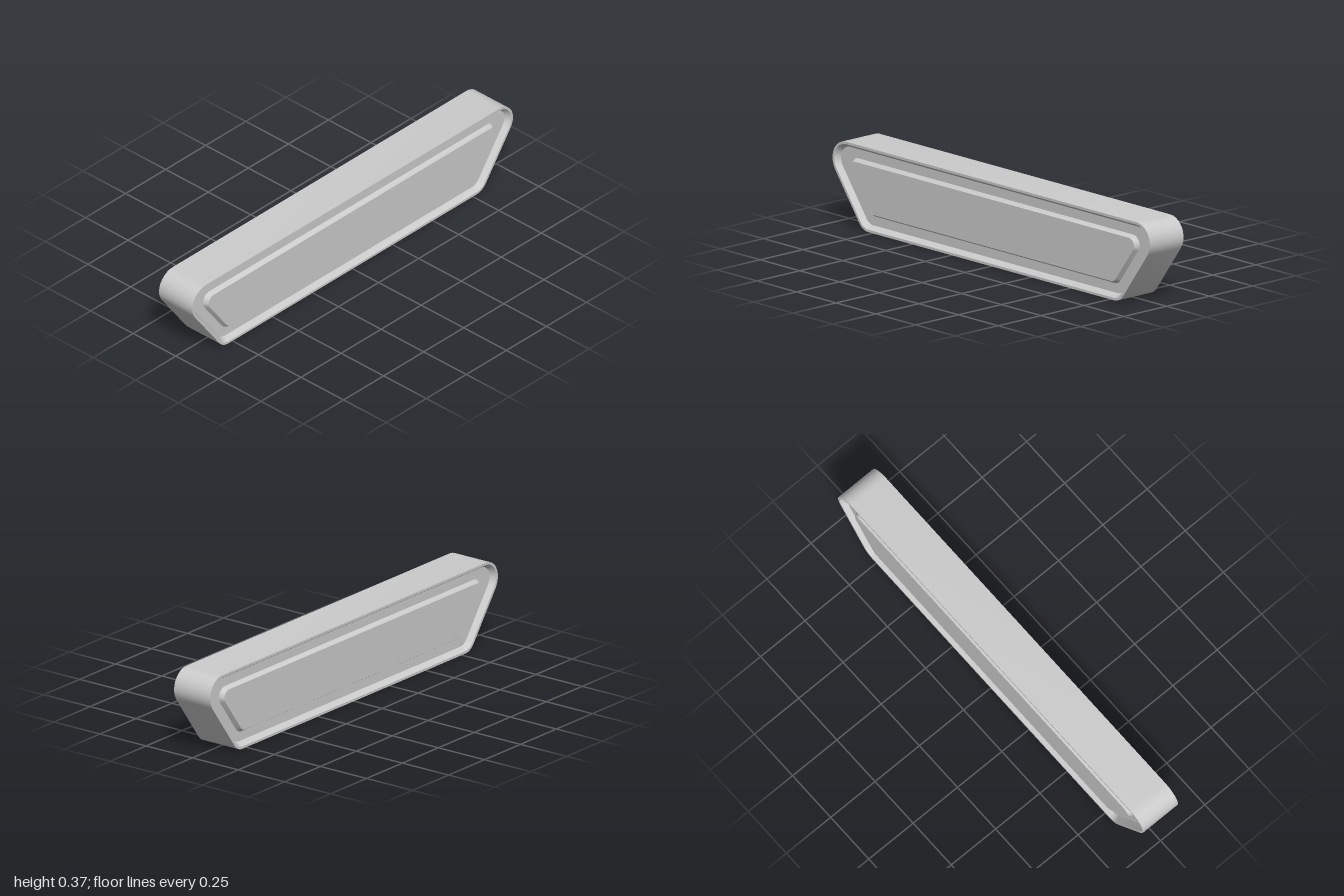
import * as THREE from 'three';
import { toCreasedNormals } from 'three/addons/utils/BufferGeometryUtils.js';

const HEIGHT = 0.373, HALF_BASE = 0.81, HALF_DEPTH = 0.098;
const LEAN = 0.732;                       // sideways run of the slanted ends per unit of height
const SLANT = Math.hypot(1, LEAN);
const END_ANGLE = -Math.atan(LEAN);       // direction the right slanted end faces
const SEGMENTS = 10;

// Counter-clockwise rounded trapezoid, inset from the outer outline, at depth z
function ring(inset, z, topRadius, bottomRadius) {
  const centreX = (y, r) => HALF_BASE + LEAN * y - (inset + r) * SLANT;
  const right = [];
  const corner = (y, r, from, to) => {
    for (let i = 0; i <= SEGMENTS; i++) {
      const a = from + (to - from) * i / SEGMENTS;
      right.push([centreX(y, r) + r * Math.cos(a), y + r * Math.sin(a), z]);
    }
  };
  corner(inset + bottomRadius, bottomRadius, -Math.PI / 2, END_ANGLE);
  corner(HEIGHT - inset - topRadius, topRadius, END_ANGLE, Math.PI / 2);
  const left = right.map(([x, y, d]) => [-x, y, d]).reverse();
  return [...right, ...left];
}

// Skin over successive rings, ordered back to front, optionally closed with a flat face
function loft(rings, capped = false) {
  const positions = [];
  const n = rings[0].length;
  for (let k = 0; k < rings.length - 1; k++) {
    const a = rings[k], b = rings[k + 1];
    for (let i = 0; i < n; i++) {
      const j = (i + 1) % n;
      positions.push(...a[i], ...a[j], ...b[j], ...a[i], ...b[j], ...b[i]);
    }
  }
  if (capped) {
    const last = rings[rings.length - 1];
    const centre = [0, HEIGHT / 2, last[0][2]];
    for (let i = 0; i < n; i++) positions.push(...last[i], ...last[(i + 1) % n], ...centre);
  }
  const geometry = new THREE.BufferGeometry();
  geometry.setAttribute('position', new THREE.Float32BufferAttribute(positions, 3));
  return toCreasedNormals(geometry, Math.PI / 7);
}

export function createModel() {
  const model = new THREE.Group();
  model.name = 'trapezoidBar';
  const material = new THREE.MeshStandardMaterial({ color: 0xcccccc });
  const add = (name, geometry) => {
    const mesh = new THREE.Mesh(geometry, material);
    mesh.name = name;
    model.add(mesh);
    return mesh;
  };

  const floorZ = HALF_DEPTH - 0.025;
  const panelZ = floorZ + 0.02;

  // Body: outer wall, narrow rims, sloped inner lips and recessed floors on both faces
  const half = [
    [0, HALF_DEPTH, 0.085, 0.07],
    [0.011, HALF_DEPTH, 0.074, 0.062],
    [0.027, floorZ, 0.058, 0.052],
    [0.068, floorZ, 0.042, 0.05],
  ];
  const back = half.map(([d, z, t, b]) => ring(d, -z, t, b)).reverse();
  const front = half.map(([d, z, t, b]) => ring(d, z, t, b));
  add('body', loft([...back, ...front]));

  // Raised bevelled panel in each recess
  const panel = loft([ring(0.068, floorZ, 0.042, 0.05), ring(0.08, panelZ, 0.032, 0.042)], true);
  add('frontPanel', panel);
  add('backPanel', panel).rotation.y = Math.PI;

  return model;
}
